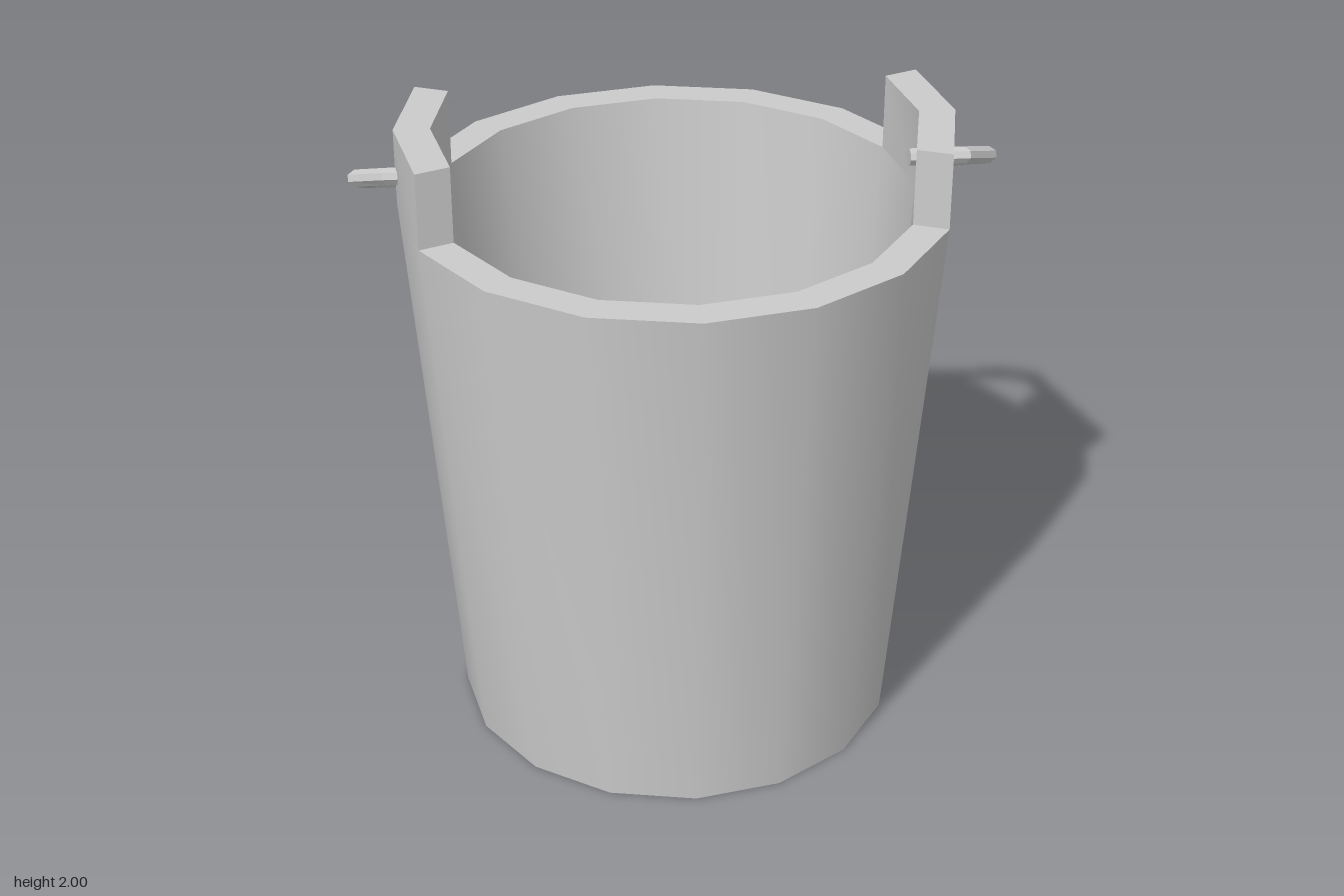
import * as THREE from 'three';
import { toCreasedNormals } from 'three/addons/utils/BufferGeometryUtils.js';

const SIDES = 16, RIM_Y = 1.76, TOP_Y = 2, R_OUT = 0.84, R_IN = 0.73;

const grey = (flatShading = false) => new THREE.MeshStandardMaterial({ color: 0xcccccc, flatShading });

function part(name, geometry, material) {
  const mesh = new THREE.Mesh(geometry, material);
  mesh.name = name;
  return mesh;
}

// Sweeps a flattened octagon along a path in the xz plane.
// Each station is [x, z, half width in the plane, half thickness].
function flatBar(stations) {
  const n = 8, verts = [], index = [];
  const pts = stations.map(([x, z]) => new THREE.Vector3(x, 0, z));
  const up = new THREE.Vector3(0, 1, 0);
  const dir = (i) => pts[i + 1].clone().sub(pts[i]).normalize();
  const last = pts.length - 1;
  stations.forEach(([, , w, h], i) => {
    const t = dir(Math.max(i - 1, 0)).add(dir(Math.min(i, last - 1))).normalize();
    const side = up.clone().cross(t);
    for (let j = 0; j < n; j++) {
      const a = ((j + 0.5) / n) * Math.PI * 2, k = 1 / Math.cos(Math.PI / n);
      const v = pts[i].clone().addScaledVector(side, Math.cos(a) * w * k);
      verts.push(v.x, Math.sin(a) * h * k, v.z);
    }
  });
  for (let i = 0; i < last; i++) {
    for (let j = 0; j < n; j++) {
      const a = i * n + j, b = i * n + ((j + 1) % n);
      index.push(a, b, b + n, a, b + n, a + n);
    }
  }
  // end caps
  for (let j = 1; j < n - 1; j++) {
    index.push(0, j + 1, j, last * n, last * n + j, last * n + j + 1);
  }
  const g = new THREE.BufferGeometry();
  g.setAttribute('position', new THREE.Float32BufferAttribute(verts, 3));
  g.setIndex(index);
  g.computeVertexNormals();
  return g;
}

const mirrored = (half) => [...half, ...half.slice().reverse().map(([x, ...rest]) => [-x, ...rest])];

// Raised lug covering two wall segments; s = 1 or -1 picks the side
function ear(s) {
  const step = (Math.PI * 2) / SIDES;
  const at = (r, k) => new THREE.Vector2(s * r * Math.cos(k * step), r * Math.sin(k * step));
  const shape = new THREE.Shape([
    at(R_OUT, -1), at(R_OUT, 0), at(R_OUT, 1), at(R_IN, 1), at(R_IN, 0), at(R_IN, -1),
  ]);
  const g = new THREE.ExtrudeGeometry(shape, { depth: TOP_Y - RIM_Y, bevelEnabled: false });
  g.rotateX(-Math.PI / 2);
  g.translate(0, RIM_Y, 0);
  return toCreasedNormals(g, 0.6);
}

export function createModel() {
  const model = new THREE.Group();
  model.name = 'bucket';

  // Tapered body with wall thickness and floor
  const body = new THREE.Group();
  body.name = 'body';
  body.position.set(-0.005, 0, 0.05);
  const profile = [[0, 0], [0.7, 0], [R_OUT, RIM_Y], [R_IN, RIM_Y], [0.59, 0.05], [0, 0.05]]
    .map(([r, y]) => new THREE.Vector2(r, y));
  body.add(part('pail', toCreasedNormals(new THREE.LatheGeometry(profile, SIDES), 0.6), grey()));
  body.add(part('leftEar', ear(1), grey()));
  body.add(part('rightEar', ear(-1), grey()));
  model.add(body);

  // Handle hinged in the ears and resting towards the back
  const handle = new THREE.Group();
  handle.name = 'handle';
  handle.position.set(0, 1.85, 0.05);
  handle.rotation.x = -0.44;
  const bar = mirrored([
    [0.7, 0, 0.04, 0.026],
    [0.865, 0, 0.042, 0.026],
    [0.957, -0.115, 0.036, 0.026],
    [0.957, -0.91, 0.036, 0.026],
    [0.857, -0.978, 0.042, 0.026],
  ]);
  handle.add(part('handleBar', flatBar(bar), grey(true)));

  // Thicker hand grip with chamfered ends
  const grip = mirrored([
    [0.437, -0.978, 0.053, 0.031],
    [0.423, -0.978, 0.061, 0.037],
  ]);
  handle.add(part('grip', flatBar(grip), grey(true)));
  model.add(handle);

  return model;
}
